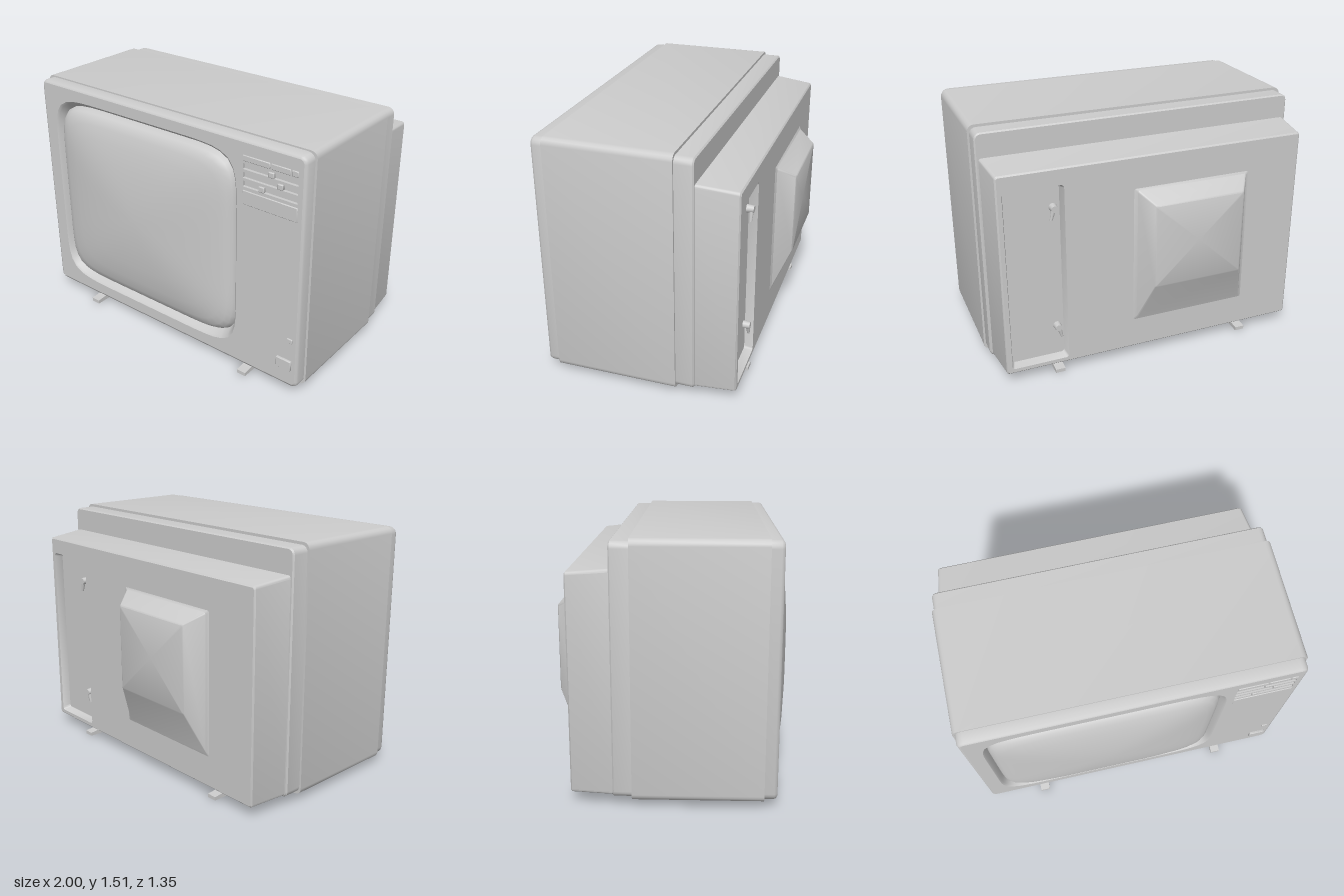
import * as THREE from 'three';
import { toCreasedNormals } from 'three/addons/utils/BufferGeometryUtils.js';

const grey = new THREE.MeshStandardMaterial({ color: 0xcccccc });
const greyDouble = new THREE.MeshStandardMaterial({ color: 0xcccccc, side: THREE.DoubleSide });

// Rounded rectangle loop, counter-clockwise seen from +z
function rectRing(x0, x1, y0, y1, z, r = 0.004, n = 4) {
  const pts = [];
  const corners = [[x1 - r, y0 + r, -1], [x1 - r, y1 - r, 0], [x0 + r, y1 - r, 1], [x0 + r, y0 + r, 2]];
  for (const [cx, cy, q] of corners) {
    for (let i = 0; i <= n; i++) {
      const a = (q + i / n) * Math.PI / 2;
      pts.push(new THREE.Vector3(cx + r * Math.cos(a), cy + r * Math.sin(a), z));
    }
  }
  return pts;
}

// Bulging picture-tube outline: superellipse with half sizes a, b
function tubeRing(a, b, z, power = 8, n = 96) {
  const pts = [];
  for (let i = 0; i < n; i++) {
    const t = (i / n) * Math.PI * 2, c = Math.cos(t), s = Math.sin(t);
    const k = Math.pow(Math.abs(c) ** power + Math.abs(s) ** power, -1 / power);
    pts.push(new THREE.Vector3(-0.168 + a * k * c, 0.78 + b * k * s, z));
  }
  return pts;
}

// Skin between loops; caps face -z at the first loop and +z at the last.
// Increasing z gives an outside surface, decreasing z the inside of a pocket.
function loft(rings, capBack = false, capFront = false, crease = 0.6) {
  const p = [];
  const tri = (...v) => v.forEach((q) => p.push(q.x, q.y, q.z));
  for (let k = 0; k + 1 < rings.length; k++) {
    const a = rings[k], b = rings[k + 1];
    for (let i = 0; i < a.length; i++) {
      const j = (i + 1) % a.length;
      tri(a[i], a[j], b[j]);
      tri(a[i], b[j], b[i]);
    }
  }
  const cap = (ring, flip) => {
    const c = new THREE.Vector3();
    ring.forEach((v) => c.addScaledVector(v, 1 / ring.length));
    ring.forEach((v, i) => {
      const w = ring[(i + 1) % ring.length];
      flip ? tri(c, w, v) : tri(c, v, w);
    });
  };
  if (capBack) cap(rings[0], true);
  if (capFront) cap(rings[rings.length - 1], false);
  const g = new THREE.BufferGeometry();
  g.setAttribute('position', new THREE.Float32BufferAttribute(p, 3));
  return toCreasedNormals(g, crease);
}

// Flat face at the loop's z with openings
function face(outline, holes) {
  const flat = (ring) => ring.map((v) => new THREE.Vector2(v.x, v.y));
  const shape = new THREE.Shape(flat(outline));
  holes.forEach((h) => shape.holes.push(new THREE.Path(flat(h).reverse())));
  return new THREE.ShapeGeometry(shape).translate(0, 0, outline[0].z);
}

export function createModel() {
  const model = new THREE.Group();
  const add = (name, geometry, material = grey) => {
    const m = new THREE.Mesh(geometry, material);
    m.name = name;
    model.add(m);
    return m;
  };
  const block = (name, x0, x1, y0, y1, z0, z1, e = 0.004) => add(name, loft([
    rectRing(x0, x1, y0, y1, z0), rectRing(x0, x1, y0, y1, z1 - e),
    rectRing(x0 + e, x1 - e, y0 + e, y1 - e, z1, 0.002)], true, true));

  // Cabinet shell and the stepped collar behind it
  add('cabinet', loft([rectRing(-1, 1, 0.045, 1.512, -0.212, 0.04), rectRing(-1, 1, 0.045, 1.512, 0.523, 0.04)], true, true));
  add('rearCollar', loft([
    rectRing(-0.98, 0.98, 0.068, 1.488, -0.32, 0.03),
    rectRing(-0.988, 0.988, 0.06, 1.496, -0.312, 0.038),
    rectRing(-0.988, 0.988, 0.06, 1.496, -0.21, 0.038)], true));

  // Front bezel: rounded edge, face with openings, funnel around the tube
  const F = 0.597;
  const edge = [[0, 0.52], [0, 0.578], [0.006, 0.591], [0.018, F]];
  const bezelRings = edge.map(([d, z]) => rectRing(-0.987 + d, 0.987 - d, 0.053 + d, 1.503 - d, z, 0.042 - d));
  add('bezelEdge', loft(bezelRings, false, false, 0.9));
  const opening = tubeRing(0.718, 0.64, F);
  const slots = [[1.331, 1.366], [1.28, 1.315], [1.229, 1.264]].map(([a, b]) => rectRing(0.59, 0.94, a, b, F, 0.002, 1));
  add('bezelFace', face(bezelRings[3], [opening, ...slots]));
  add('screenSurround', loft([opening, tubeRing(0.708, 0.628, 0.587), tubeRing(0.69, 0.595, 0.53)], false, false, 0.9));

  // Domed picture tube
  const dome = [[1, 0.525], [0.995, 0.555], [0.975, 0.58], [0.94, 0.599], [0.88, 0.614], [0.75, 0.634],
    [0.55, 0.654], [0.3, 0.669], [0.12, 0.674], [0.01, 0.675]];
  add('screen', loft(dome.map(([r, z]) => tubeRing(0.695 * r, 0.6 * r, z, 2.5 + 5.5 * r * r)), false, true, 1.2));

  // Control panel: button row, slider slots with knobs, door, small buttons
  [[0.59, 0.765], [0.772, 0.893], [0.9, 0.94]].forEach(([a, b]) => block('topButton', a, b, 1.38, 1.415, 0.59, 0.602));
  const knobs = [0.772, 0.83, 0.712];
  slots.forEach((ring, i) => {
    add('sliderSlot', loft([ring, ring.map((v) => v.clone().setZ(F - 0.018))], false, true));
    block('sliderKnob', knobs[i] - 0.018, knobs[i] + 0.018, ring[0].y, ring[0].y + 0.033, 0.575, 0.603);
  });
  block('controlDoor', 0.59, 0.943, 1.125, 1.21, 0.59, 0.602);
  block('indicator', 0.908, 0.946, 0.353, 0.384, 0.59, 0.603);
  block('powerButton', 0.846, 0.946, 0.17, 0.235, 0.59, 0.611);

  // Tapered back housing with a connector recess
  const back = rectRing(-0.937, 0.937, 0.078, 1.318, -0.56, 0.012);
  const recess = rectRing(0.56, 0.912, 0.1, 1.225, -0.56, 0.02);
  add('backHousing', loft([back,
    rectRing(-0.946, 0.946, 0.07, 1.327, -0.552, 0.018),
    rectRing(-0.972, 0.972, 0.07, 1.35, -0.315, 0.018)], false, false, 0.5));
  add('backFace', face(back, [recess]), greyDouble);
  add('connectorRecess', loft([
    rectRing(0.575, 0.898, 0.115, 1.21, -0.51, 0.018), recess], true));

  // Lugs inside the recess: a round post with a tapering stem
  for (const [y, lean] of [[1.08, 0.012], [0.31, -0.012]]) {
    const lug = new THREE.Group();
    lug.name = 'recessLug';
    const post = new THREE.Mesh(new THREE.CylinderGeometry(0.02, 0.024, 0.045, 16).rotateX(-Math.PI / 2), grey);
    post.name = 'lugPost';
    const stem = new THREE.Mesh(new THREE.CylinderGeometry(0.014, 0.008, 0.07, 10), grey);
    stem.name = 'lugStem';
    stem.position.set(lean, -0.035, -0.008);
    stem.rotation.z = lean * 20;
    lug.add(post, stem);
    lug.position.set(0.615, y, -0.53);
    model.add(lug);
  }

  // Tube-neck hump
  add('tubeHump', loft([
    rectRing(-0.505, 0.045, 0.535, 1.048, -0.675, 0.01),
    rectRing(-0.515, 0.055, 0.525, 1.056, -0.67, 0.012),
    rectRing(-0.583, 0.122, 0.285, 1.118, -0.568, 0.012),
    rectRing(-0.605, 0.145, 0.26, 1.132, -0.559, 0.012)], true, false, 0.5));

  // Two long runner feet with tapered ends
  const profile = [[0.63, 0], [0.63, 0.023], [0.4, 0.046], [0.4, 0.06], [-0.2, 0.06], [-0.2, 0.046],
    [-0.34, 0.042], [-0.555, 0.022], [-0.555, 0]];
  const footShape = new THREE.Shape(profile.map(([z, y]) => new THREE.Vector2(z, y)));
  for (const x of [-0.62, 0.615]) {
    const g = new THREE.ExtrudeGeometry(footShape, { depth: 0.06, bevelEnabled: false });
    add('foot', g.translate(0, 0, -0.03).rotateY(-Math.PI / 2)).position.x = x;
  }
  return model;
}
